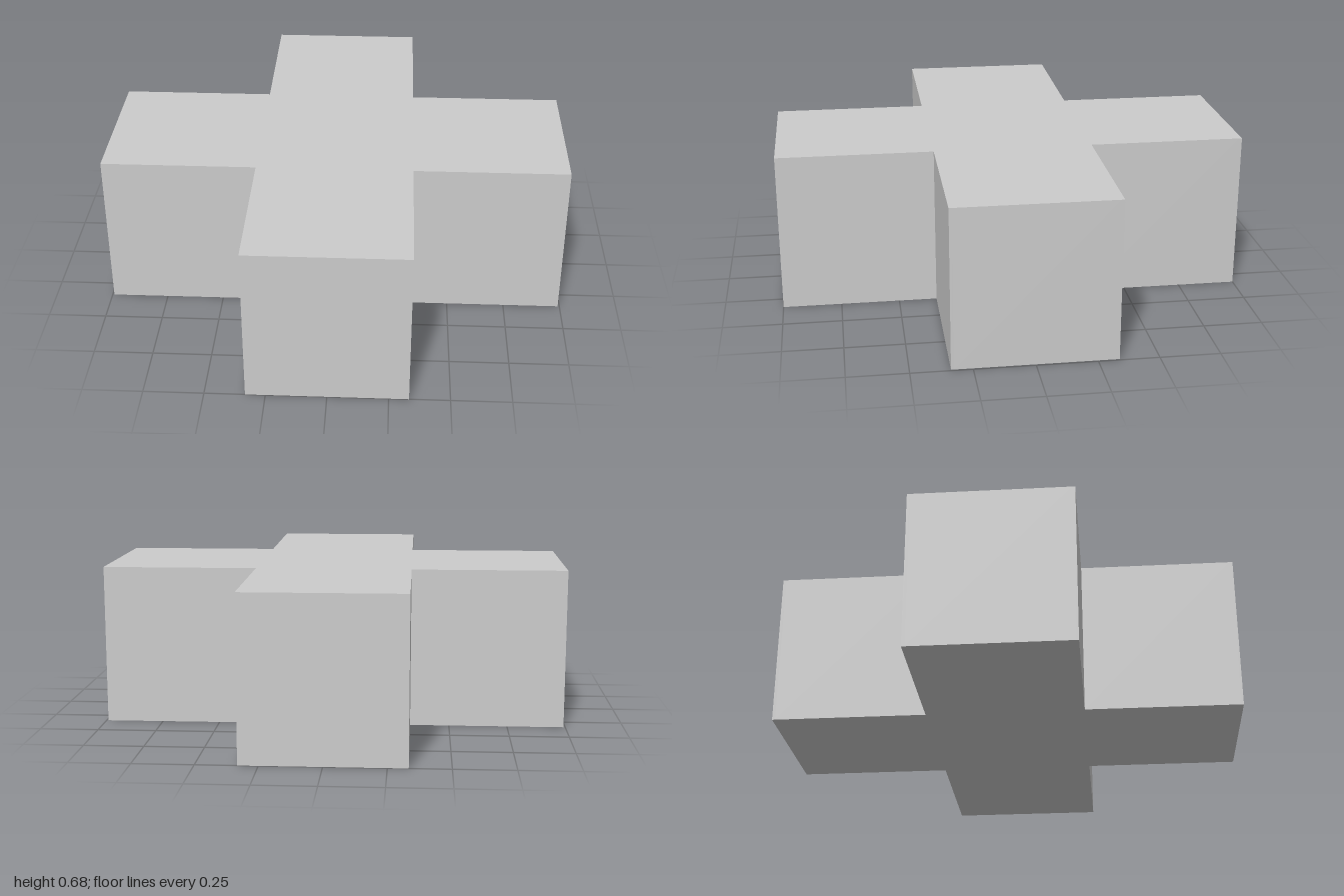
import * as THREE from 'three';

const T = 0.013;          // panel thickness
const H = 0.68;           // overall height
const ZW = 0.331, ZE = 1 - T / 2;         // centre lines of the walls facing z
const XW = 0.326, XE = 0.9925 - T / 2;    // centre lines of the walls facing x

export function createModel() {
  const group = new THREE.Group();
  const material = new THREE.MeshStandardMaterial({ color: 0xcccccc });

  // Box panel given by its limits on each axis
  const panel = (name, [x0, x1], [y0, y1], [z0, z1]) => {
    const mesh = new THREE.Mesh(new THREE.BoxGeometry(x1 - x0, y1 - y0, z1 - z0), material);
    mesh.position.set((x0 + x1) / 2, (y0 + y1) / 2, (z0 + z1) / 2);
    mesh.name = name;
    group.add(mesh);
  };
  const around = (c) => [c - T / 2, c + T / 2];
  const between = (a, b) => [a + T / 2, b - T / 2];
  const full = [0, H];

  const middleX = [-XW - T / 2, XW + T / 2];
  const leftX = [XW + T / 2, XE + T / 2];
  const rightX = [-XE - T / 2, -XW - T / 2];

  // Walls facing front and back, full width of each cell
  for (const z of [-ZE, -ZW, ZW, ZE]) panel('middleCrossWall', middleX, full, around(z));
  for (const z of [-ZW, ZW]) {
    panel('leftArmWall', leftX, full, around(z));
    panel('rightArmWall', rightX, full, around(z));
  }

  // Walls facing the sides, fitted between the others
  const rows = [between(-ZE, -ZW), between(-ZW, ZW), between(ZW, ZE)];
  for (const row of rows) for (const s of [-1, 1]) panel('sideWall', around(s * XW), full, row);
  for (const s of [-1, 1]) panel('armEndWall', around(s * XE), full, rows[1]);

  // Lid and floor set inside the walls of all five cells
  const columns = [between(-XE, -XW), between(-XW, XW), between(XW, XE)];
  for (const [c, r] of [[1, 0], [0, 1], [1, 1], [2, 1], [1, 2]]) {
    panel('lid', columns[c], [H - T, H], rows[r]);
    panel('floor', columns[c], [0, T], rows[r]);
  }
  return group;
}
